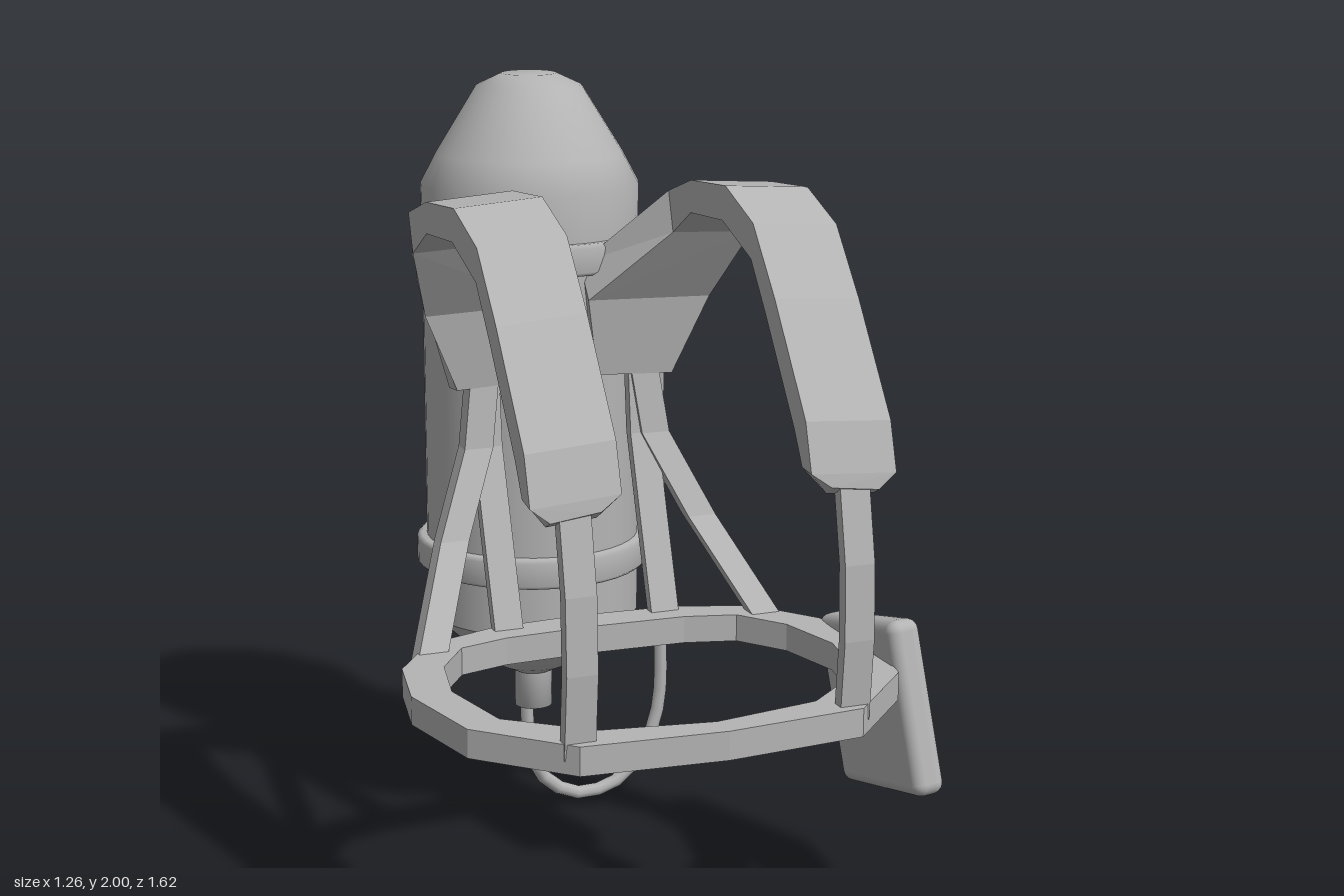
import * as THREE from 'three';
import { RoundedBoxGeometry } from 'three/addons/geometries/RoundedBoxGeometry.js';

const CX = -0.04; // symmetry plane of the harness

// Faceted solid through four-cornered cross-sections, faces turned outward
function loft(sections, closed = false) {
  const tris = [];
  const quad = (a, b, c, d) => tris.push([a, b, c], [a, c, d]);
  const n = sections.length;
  for (let i = 0; i < (closed ? n : n - 1); i++) {
    const s = sections[i], t = sections[(i + 1) % n];
    for (let j = 0; j < 4; j++) quad(s[j], s[(j + 1) % 4], t[(j + 1) % 4], t[j]);
  }
  if (!closed) {
    const e = sections[n - 1];
    quad(...[...sections[0]].reverse());
    quad(...e);
  }
  const V = (p) => new THREE.Vector3(...p);
  const volume = tris.reduce((sum, [a, b, c]) => sum + V(a).dot(V(b).cross(V(c))), 0);
  const pos = tris.flatMap(([a, b, c]) => (volume < 0 ? [a, c, b] : [a, b, c]).flat());
  const g = new THREE.BufferGeometry();
  g.setAttribute('position', new THREE.Float32BufferAttribute(pos, 3));
  g.computeVertexNormals();
  return g;
}

// Flat strap along points, w wide in x and t deep in z
function strap(points, w, t, side) {
  return loft(points.map(([x, y, z]) =>
    [[-1, -1], [1, -1], [1, 1], [-1, 1]].map(([a, b]) => [side * x + a * w / 2, y, z + b * t / 2])));
}

export function createModel() {
  const root = new THREE.Group();
  root.name = 'backpackTankHarness';
  const grey = new THREE.MeshStandardMaterial({ color: 0xb4b4b4 });
  grey.name = 'grey';
  const add = (name, geometry, parent = root) => {
    const m = new THREE.Mesh(geometry, grey);
    m.name = name;
    parent.add(m);
    return m;
  };

  // Tank: turned pieces on one upright axis
  const tank = new THREE.Group();
  tank.name = 'tank';
  tank.position.set(-0.035, 0, -0.5);
  root.add(tank);
  const lathe = (name, pts) =>
    add(name, new THREE.LatheGeometry(pts.map((p) => new THREE.Vector2(...p)), 40), tank);
  lathe('tankDome', [[0.28, 1.56], [0.282, 1.72], [0.24, 1.8], [0.135, 1.97], [0.07, 2], [0, 2]]);
  lathe('tankBody', [[0.28, 0.58], [0.28, 1.58]]);
  lathe('tankCone', [[0.05, 0.4], [0.1, 0.425], [0.15, 0.46], [0.28, 0.58]]);
  lathe('nozzle', [[0, 0.3], [0.05, 0.3], [0.05, 0.42]]);
  for (const [name, y] of [['lowerRing', 0.71], ['upperRing', 1.52]]) {
    lathe(name, [[0.27, y], [0.295, y], [0.306, y + 0.01], [0.306, y + 0.07], [0.295, y + 0.08], [0.27, y + 0.08]]);
  }

  // Hose from the nozzle up to the left shoulder
  const hosePath = new THREE.CatmullRomCurve3([
    [-0.055, 0.31, -0.5], [-0.05, 0.22, -0.5], [-0.02, 0.1, -0.5], [0.08, 0.026, -0.5],
    [0.2, 0.04, -0.5], [0.28, 0.12, -0.5], [0.33, 0.25, -0.5], [0.33, 0.6, -0.5],
    [0.325, 0.92, -0.495], [0.32, 1.24, -0.485], [0.315, 1.45, -0.41],
    [0.31, 1.58, -0.31], [0.305, 1.68, -0.19], [0.3, 1.73, -0.1],
  ].map((p) => new THREE.Vector3(...p)));
  add('hose', new THREE.TubeGeometry(hosePath, 40, 0.019, 8));

  const harness = new THREE.Group();
  harness.name = 'harness';
  harness.position.x = CX;
  root.add(harness);

  // Waist belt: outer x, z and inner x, z for the half ring, front to back
  const half = [
    [0, 0.81, 0, 0.74], [0.35, 0.782, 0.27, 0.695], [0.545, 0.58, 0.455, 0.54], [0.595, 0.32, 0.495, 0.32],
    [0.555, 0.12, 0.455, 0.14], [0.44, -0.04, 0.37, 0.02], [0.24, -0.11, 0.24, -0.015], [0, -0.125, 0, -0.025],
  ];
  const ring = [...half, ...half.slice(1, -1).reverse().map(([a, b, c, d]) => [-a, b, -c, d])];
  add('waistBelt', loft(ring.map(([ox, oz, ix, iz]) =>
    [[ox, 0.59, oz], [ox, 0.66, oz], [ix, 0.66, iz], [ix, 0.59, iz]]), true), harness);

  // Shoulder pad sections: outer z, y, inner z, y, inner x, outer x
  const pad = [
    [0.735, 1.18, 0.705, 1.16, 0.28, 0.4], [0.73, 1.215, 0.68, 1.22, 0.23, 0.445],
    [0.695, 1.33, 0.635, 1.3, 0.23, 0.445], [0.52, 1.58, 0.475, 1.53, 0.23, 0.445],
    [0.395, 1.735, 0.385, 1.65, 0.23, 0.445], [0.235, 1.8, 0.22, 1.715, 0.23, 0.445],
    [0.03, 1.785, 0.03, 1.705, 0.23, 0.445], [-0.11, 1.74, -0.08, 1.64, 0.23, 0.445],
    [-0.255, 1.545, -0.195, 1.46, 0.05, 0.38], [-0.29, 1.26, -0.225, 1.26, 0.085, 0.29],
  ];
  for (const [label, s] of [['left', 1], ['right', -1]]) {
    add(label + 'ShoulderPad', loft(pad.map(([zo, yo, zi, yi, xi, xo]) =>
      [[s * xi, yo, zo], [s * xo, yo - 0.015, zo], [s * xo, yi - 0.01, zi], [s * xi, yi, zi]])), harness);
    add(label + 'FrontStrap', strap([[0.34, 1.2, 0.71], [0.34, 1.0, 0.75], [0.34, 0.82, 0.757],
      [0.34, 0.62, 0.74]], 0.075, 0.032, s), harness);
    add(label + 'BackStrap', strap([[0.212, 1.3, -0.255], [0.212, 1.1, -0.235], [0.212, 0.9, -0.17],
      [0.212, 0.63, -0.08]], 0.075, 0.03, s), harness);
    add(label + 'SideStrap', strap([[0.215, 1.28, -0.255], [0.24, 1.1, -0.235], [0.335, 0.89, -0.15],
      [0.46, 0.63, 0.03]], 0.075, 0.05, s), harness);
  }

  // Pouch hanging askew beside the left of the belt
  const pouch = add('beltPouch', new RoundedBoxGeometry(0.085, 0.435, 0.435, 3, 0.03));
  pouch.position.set(0.565, 0.51, 0.37);
  pouch.rotation.set(-0.24, 0, 0.085, 'ZYX');

  return root;
}
